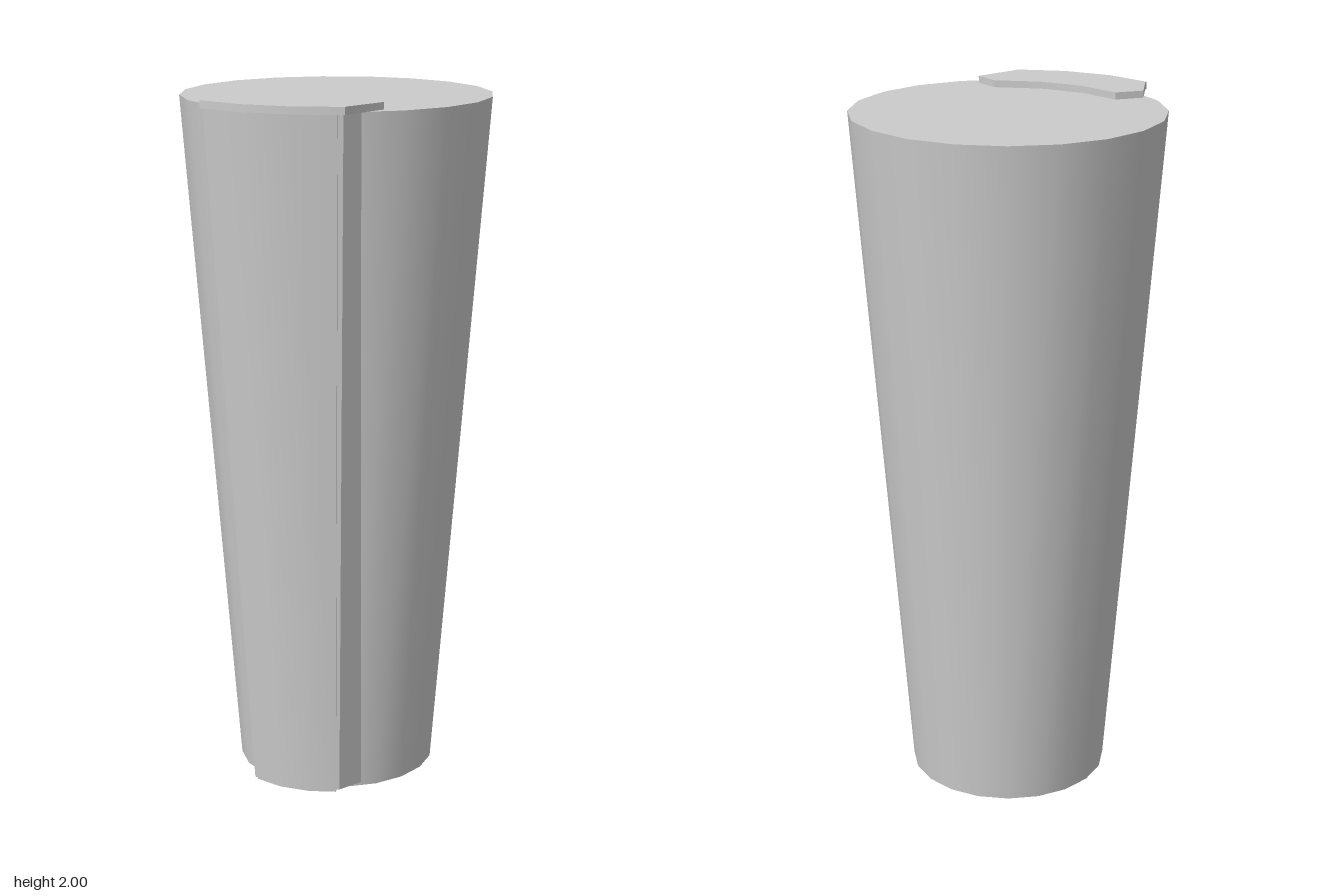
import * as THREE from 'three';
import { toCreasedNormals } from 'three/addons/utils/BufferGeometryUtils.js';

const AXIS_Z = -0.03; // axis of the tapered body
const TOP = 1.98;

// Outline in x/z, extruded upward; taper shrinks its lower end toward the body axis.
function prism(outline, y0, y1, taper = 1, shift = 0) {
  const shape = new THREE.Shape(outline.map(([x, z]) => new THREE.Vector2(x, -z)));
  const geo = new THREE.ExtrudeGeometry(shape, { depth: y1 - y0, bevelEnabled: false });
  geo.rotateX(-Math.PI / 2);
  const p = geo.attributes.position;
  for (let i = 0; i < p.count; i++) {
    const low = 1 - p.getY(i) / (y1 - y0);
    const s = 1 + (taper - 1) * low;
    p.setXYZ(i, p.getX(i) * s, p.getY(i) + y0, (p.getZ(i) - AXIS_Z) * s + AXIS_Z + shift * low);
  }
  return toCreasedNormals(geo, 0.5);
}

export function createModel() {
  const group = new THREE.Group();
  const material = new THREE.MeshStandardMaterial({ color: 0xcccccc });
  const add = (name, geometry) => {
    const mesh = new THREE.Mesh(geometry, material);
    mesh.name = name;
    group.add(mesh);
    return mesh;
  };

  // Tapered twenty-sided body
  add('taperedBody', new THREE.CylinderGeometry(0.441, 0.287, TOP, 20))
    .position.set(0, TOP / 2, AXIS_Z);

  // Inner edge shared by the front panel and its cap
  const inner = [[0.203, 0.318], [0.138, 0.268], [0.005, 0.29],
    [-0.125, 0.268], [-0.24, 0.205], [-0.308, 0.255]];

  // Front panel, sunk into the body and following its taper
  add('frontPanel', prism([[-0.277, 0.375], [-0.152, 0.426], [-0.015, 0.445], [0.117, 0.428],
    ...inner], 0.01, TOP, 0.66, 0.016));

  // Thin raised plate on the panel's outer face
  add('panelFace', prism([[-0.265, 0.378], [-0.15, 0.435], [-0.015, 0.455], [0.103, 0.438],
    [0.1, 0.4], [-0.015, 0.42], [-0.15, 0.4], [-0.255, 0.35]], 0.005, TOP, 0.66, 0.016));

  // Flat cap that overhangs the panel
  add('panelCap', prism([[-0.283, 0.37], [-0.283, 0.383], [-0.155, 0.446], [-0.015, 0.467],
    [0.125, 0.446], [0.13, 0.433], ...inner], TOP - 0.001, 2));

  return group;
}
